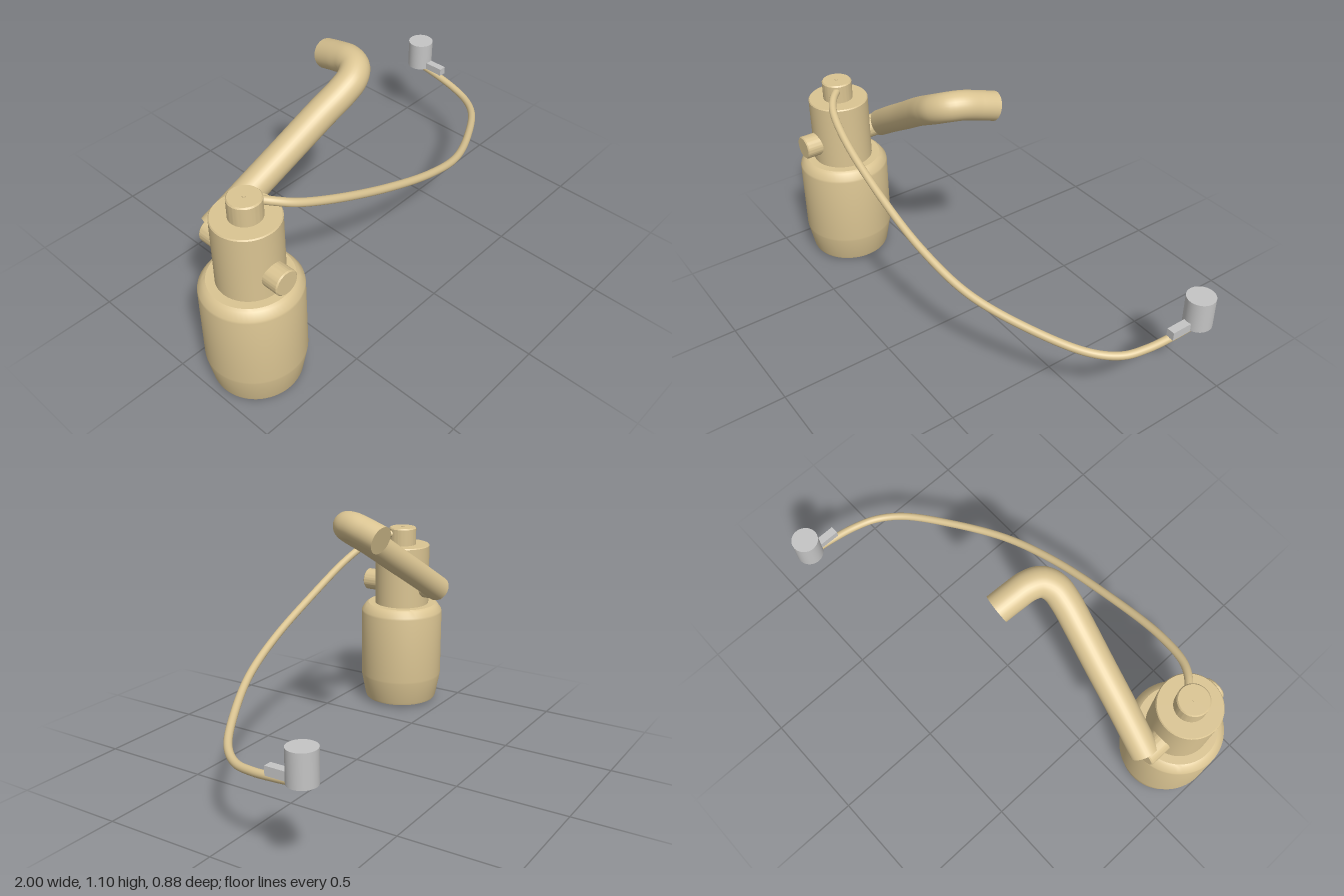
import * as THREE from 'three';
import { toCreasedNormals } from 'three/addons/utils/BufferGeometryUtils.js';

const CX = -0.797, CZ = 0.235; // body axis

export function createModel() {
  const model = new THREE.Group();
  const brass = new THREE.MeshStandardMaterial({ color: 0xdac492 });
  brass.name = 'brass';
  const steel = new THREE.MeshStandardMaterial({ color: 0xc4c4c4 });
  steel.name = 'steel';

  const add = (name, geometry, material, x = 0, y = 0, z = 0, parent = model) => {
    const mesh = new THREE.Mesh(geometry, material);
    mesh.name = name;
    mesh.position.set(x, y, z);
    parent.add(mesh);
    return mesh;
  };

  // Turned part from [radius, height] pairs listed bottom to top
  const turned = (profile) => toCreasedNormals(
    new THREE.LatheGeometry(profile.map(([r, y]) => new THREE.Vector2(r, y)), 64), 0.5);

  // Round tube through points, with flat discs closing both ends
  const pipe = (name, points, radius, segments, sides) => {
    const group = new THREE.Group();
    group.name = name;
    const curve = new THREE.CatmullRomCurve3(points.map((p) => new THREE.Vector3(...p)));
    add(name + 'Tube', new THREE.TubeGeometry(curve, segments, radius, sides), brass, 0, 0, 0, group);
    for (const [t, sign] of [[0, -1], [1, 1]]) {
      const at = curve.getPointAt(t);
      const cap = add(name + 'Cap', new THREE.CircleGeometry(radius, sides), brass, at.x, at.y, at.z, group);
      cap.quaternion.setFromUnitVectors(
        new THREE.Vector3(0, 0, 1), curve.getTangentAt(t).multiplyScalar(sign));
    }
    model.add(group);
  };

  // Main vessel with tapered foot, chamfered shoulder and shallow conical base
  add('vessel', turned([
    [0, 0.004], [0.17, 0.017], [0.178, 0.02], [0.182, 0.03], [0.203, 0.14], [0.204, 0.15],
    [0.204, 0.475], [0.202, 0.485], [0.182, 0.513], [0.17, 0.52], [0, 0.52],
  ]), brass, CX, 0, CZ);

  // Neck and cap stacked on the vessel
  add('neck', turned([
    [0, 0.51], [0.135, 0.51], [0.135, 0.815], [0.131, 0.82], [0, 0.82],
  ]), brass, CX, 0, CZ);
  add('cap', turned([
    [0, 0.81], [0.067, 0.81], [0.067, 0.9], [0.062, 0.906], [0, 0.906],
  ]), brass, CX, 0, CZ);
  add('capPin', new THREE.CylinderGeometry(0.008, 0.008, 0.008, 16), brass, CX, 0.906, CZ);

  // Ports at front and back of the neck
  const port = turned([[0, 0], [0.053, 0], [0.053, 0.195], [0.048, 0.2], [0, 0.2]]);
  add('frontPort', port, brass, CX, 0.615, CZ).rotation.x = Math.PI / 2;
  const back = add('backPort', port, brass, CX, 0.615, CZ);
  back.rotation.x = -Math.PI / 2;
  back.scale.y = 1.13;

  // Thick outlet pipe rising sideways, then bending to the back
  pipe('outletPipe', [
    [-0.79, 0.618, 0.026], [-0.62, 0.727, 0.057], [-0.45, 0.832, 0.085], [-0.29, 0.933, 0.112],
    [-0.19, 0.99, 0.128], [-0.13, 1.022, 0.127], [-0.085, 1.042, 0.1], [-0.062, 1.044, 0.05],
    [-0.05, 1.027, -0.02], [-0.04, 1.005, -0.094],
  ], 0.062, 80, 32);

  // Thin sensing line sweeping from the cap to the bulb
  pipe('sensingLine', [
    [-0.75, 0.878, 0.262], [-0.71, 0.868, 0.302], [-0.65, 0.845, 0.338], [-0.5, 0.785, 0.37],
    [-0.2, 0.66, 0.38], [0.1, 0.545, 0.363], [0.35, 0.458, 0.31], [0.6, 0.393, 0.193],
    [0.8, 0.352, 0.062], [0.88, 0.341, -0.04], [0.912, 0.348, -0.14], [0.928, 0.36, -0.25],
    [0.937, 0.374, -0.38],
  ], 0.017, 120, 20);

  // Bulb and its mounting arm
  add('bulb', new THREE.CylinderGeometry(0.06, 0.06, 0.136, 48), steel, 0.938, 0.444, -0.38);
  add('bulbArm', new THREE.BoxGeometry(0.036, 0.038, 0.16), steel, 0.937, 0.391, -0.31);

  return model;
}
